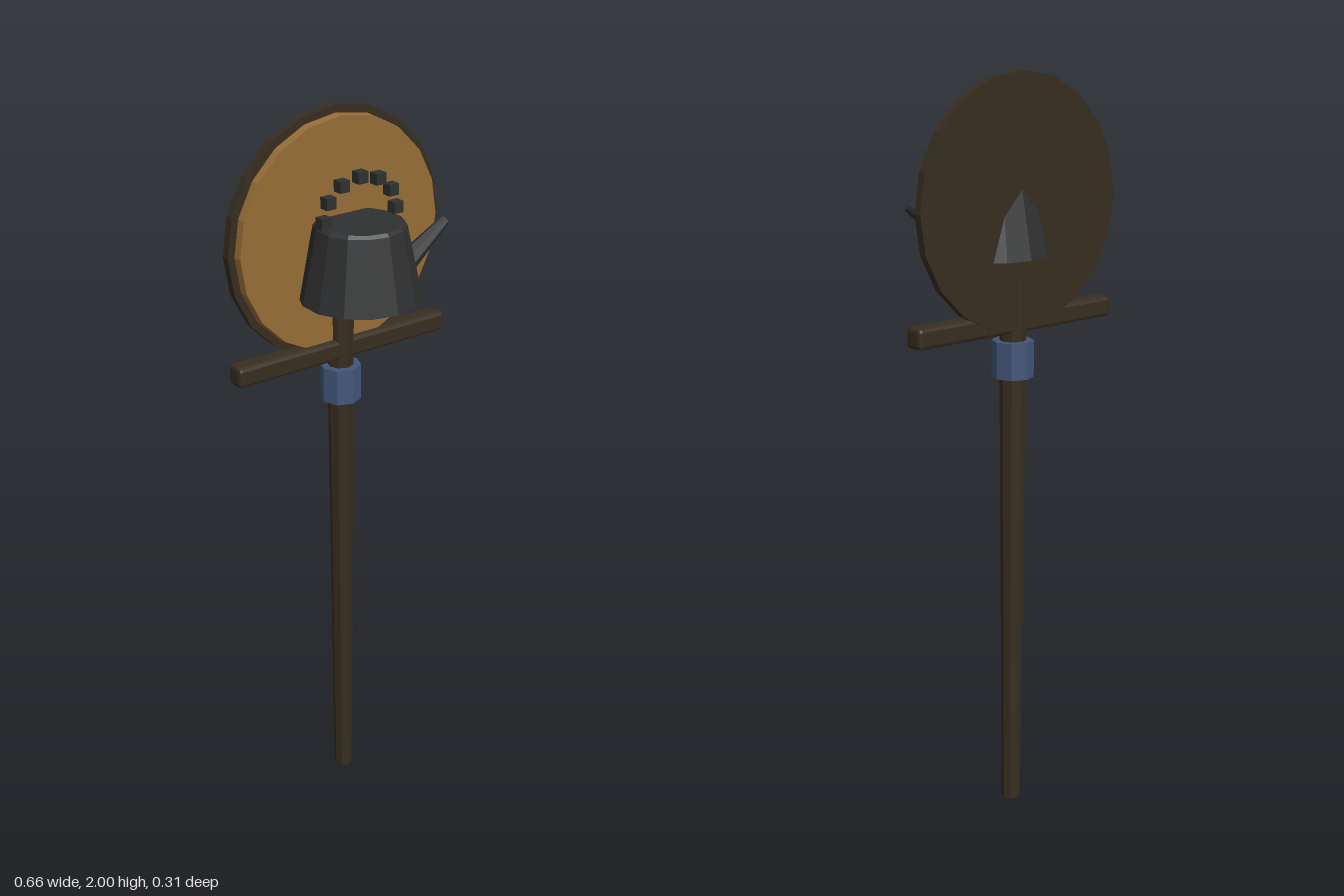
import * as THREE from 'three';
import { RoundedBoxGeometry } from 'three/addons/geometries/RoundedBoxGeometry.js';

function flat(name, color) {
  const m = new THREE.MeshStandardMaterial({ color, flatShading: true });
  m.name = name;
  return m;
}

export function createModel() {
  const root = new THREE.Group();
  root.name = 'kettleSign';
  const wood = flat('darkWood', 0x382d20);
  const ochre = flat('ochrePaint', 0x966d35);
  const iron = flat('blackIron', 0x2f3031);
  const blue = flat('blueBand', 0x43567a);
  const poleZ = -0.087;

  function add(parent, name, geometry, material, x = 0, y = 0, z = 0) {
    const mesh = new THREE.Mesh(geometry, material);
    mesh.name = name;
    mesh.position.set(x, y, z);
    parent.add(mesh);
    return mesh;
  }

  // Tapered pole, collar and crossbar
  add(root, 'pole', new THREE.CylinderGeometry(0.036, 0.026, 1.49, 8), wood, 0, 0.745, poleZ);
  add(root, 'collar', new THREE.CylinderGeometry(0.055, 0.055, 0.097, 8), blue, 0, 1.273, poleZ);
  add(root, 'crossbar', new RoundedBoxGeometry(0.656, 0.055, 0.054, 1, 0.01), wood, 0, 1.371, poleZ);

  // Round board with a painted face
  const board = new THREE.Group();
  board.name = 'board';
  board.position.y = 1.675;
  root.add(board);
  const disc = (front, back, depth) =>
    new THREE.CylinderGeometry(front, back, depth, 20).rotateX(Math.PI / 2);
  add(board, 'boardBacking', disc(0.325, 0.325, 0.022), wood, 0, 0, -0.109);
  add(board, 'boardFace', disc(0.303, 0.306, 0.022), ochre, 0, 0, -0.0875);

  // Kettle body, closed at both ends, with a narrow shoulder bevel
  const kettle = new THREE.Group();
  kettle.name = 'kettle';
  root.add(kettle);
  const profile = [[0, 1.535], [0.157, 1.535], [0.117, 1.724], [0.109, 1.732], [0, 1.732]]
    .map(([r, y]) => new THREE.Vector2(r, y));
  add(kettle, 'kettleBody', new THREE.LatheGeometry(profile, 14), iron);

  // Spout rising toward the model's left
  const base = new THREE.Vector3(0.135, 1.587, 0);
  const tip = new THREE.Vector3(0.272, 1.683, 0);
  const along = tip.clone().sub(base);
  const spout = add(kettle, 'spout', new THREE.CylinderGeometry(0.014, 0.03, along.length(), 8), iron);
  spout.position.copy(base).add(tip).multiplyScalar(0.5);
  spout.quaternion.setFromUnitVectors(new THREE.Vector3(0, 1, 0), along.normalize());

  // Handle made of small blocks along an arch
  const block = new THREE.BoxGeometry(0.029, 0.029, 0.027);
  for (let i = 0; i <= 6; i++) {
    const a = (i / 6) * Math.PI;
    add(kettle, 'handleBlock' + (i + 1), block, iron, 0.11 * Math.cos(a), 1.75 + 0.095 * Math.sin(a), 0);
  }
  return root;
}
